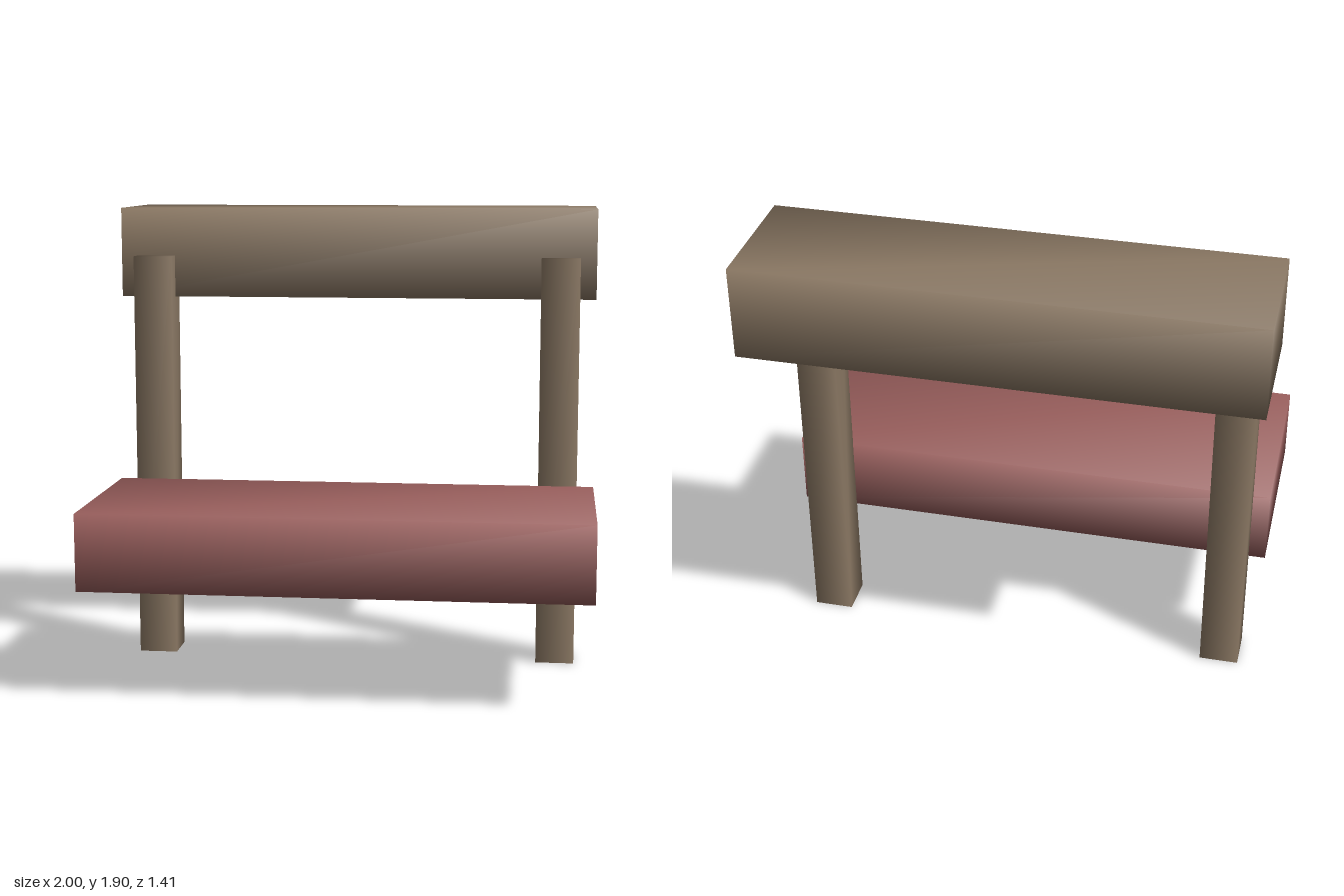
import * as THREE from 'three';
import { mergeVertices } from 'three/addons/utils/BufferGeometryUtils.js';

const wood = new THREE.MeshStandardMaterial({ color: 0x8e7b66 });
const cushion = new THREE.MeshStandardMaterial({ color: 0x9b605e });

// Block spanning min to max on each axis, with normals shared around its corners
function softBlock(name, material, [x0, x1], [y0, y1], [z0, z1]) {
  const box = new THREE.BoxGeometry(x1 - x0, y1 - y0, z1 - z0);
  box.deleteAttribute('normal');
  box.deleteAttribute('uv');
  const geometry = mergeVertices(box);
  geometry.computeVertexNormals();
  const mesh = new THREE.Mesh(geometry, material);
  mesh.name = name;
  mesh.position.set((x0 + x1) / 2, (y0 + y1) / 2, (z0 + z1) / 2);
  return mesh;
}

export function createModel() {
  const bench = new THREE.Group();
  bench.name = 'bench';

  // Seat in front of the posts, backrest beam behind them
  bench.add(softBlock('seat', cushion, [-1, 1], [0.453, 0.76], [-0.095, 0.705]));
  bench.add(softBlock('backrest', wood, [-1, 1], [1.533, 1.905], [-0.705, -0.173]));

  // Upright posts, left and right
  bench.add(softBlock('leftPost', wood, [0.772, 0.932], [0, 1.705], [-0.253, -0.093]));
  bench.add(softBlock('rightPost', wood, [-0.932, -0.772], [0, 1.705], [-0.253, -0.093]));

  return bench;
}
